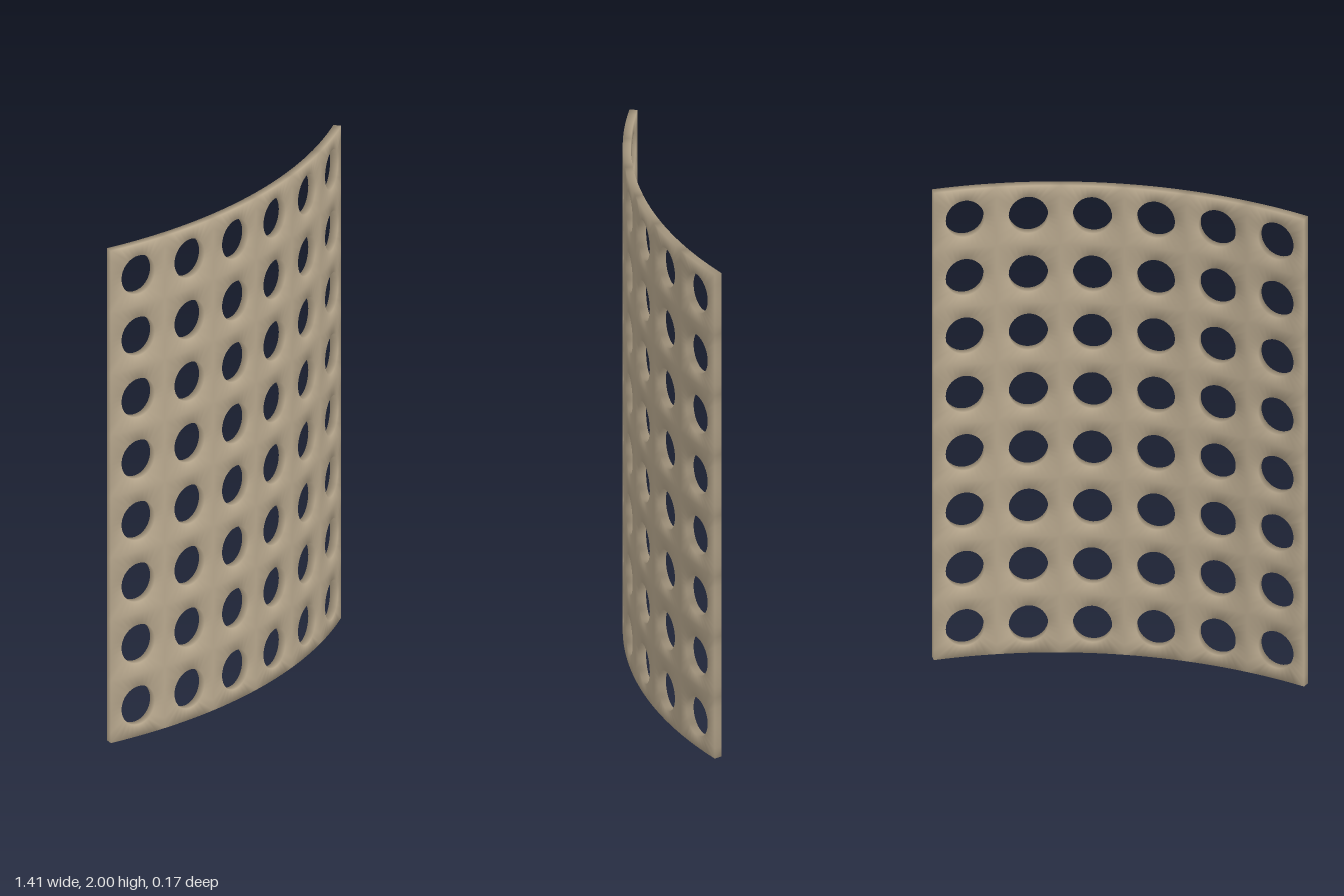
import * as THREE from 'three';
import { mergeVertices } from 'three/addons/utils/BufferGeometryUtils.js';

const COLS = 6, ROWS = 8, SEGMENTS = 32;
const ARC = Math.PI / 4, OUTER = 1.837, INNER = 1.807, CENTER_Z = -1.754;
const HEIGHT = 2, CELL_W = ARC / COLS, CELL_H = HEIGHT / ROWS;
const HOLE_W = 0.0745 / OUTER, HOLE_H = 0.078; // half sizes: angle, height

// Wrap a flat (angle, height) point around the panel's vertical axis
const bend = ([a, y], radius) => [radius * Math.sin(a), y, CENTER_Z + radius * Math.cos(a)];

function perforatedPanelGeometry() {
  const positions = [];
  const quad = (a, b, c, d) => positions.push(...a, ...b, ...c, ...a, ...c, ...d);

  for (let col = 0; col < COLS; col++) {
    for (let row = 0; row < ROWS; row++) {
      const ca = (col + 0.5) * CELL_W - ARC / 2;
      const cy = (row + 0.5) * CELL_H;

      // Rim point on the hole and matching point on the cell's rectangle
      const ray = (k) => {
        const t = (k / SEGMENTS) * Math.PI * 2;
        const c = Math.cos(t), s = Math.sin(t);
        const m = Math.max(Math.abs(c), Math.abs(s));
        const rim = [ca + HOLE_W * c, cy + HOLE_H * s];
        const edge = [ca + (CELL_W / 2) * (c / m), cy + (CELL_H / 2) * (s / m)];
        return {
          rim, edge,
          rimF: bend(rim, OUTER), rimB: bend(rim, INNER),
          edgeF: bend(edge, OUTER), edgeB: bend(edge, INNER),
        };
      };

      for (let k = 0; k < SEGMENTS; k++) {
        const p = ray(k), q = ray(k + 1);
        quad(p.rimF, p.edgeF, q.edgeF, q.rimF); // front skin
        quad(p.rimB, q.rimB, q.edgeB, p.edgeB); // back skin
        quad(p.rimF, q.rimF, q.rimB, p.rimB); // hole wall

        // Outer border of the whole panel
        const ma = (p.edge[0] + q.edge[0]) / 2, my = (p.edge[1] + q.edge[1]) / 2;
        const onSide = Math.abs(ma) > ARC / 2 - 1e-5;
        const onEnd = Math.abs(my - HEIGHT / 2) > HEIGHT / 2 - 1e-5;
        if (onSide || onEnd) quad(p.edgeF, p.edgeB, q.edgeB, q.edgeF);
      }
    }
  }

  // Shared vertices give soft shading around the rims and borders
  const soup = new THREE.BufferGeometry();
  soup.setAttribute('position', new THREE.Float32BufferAttribute(positions, 3));
  const geometry = mergeVertices(soup, 1e-4);
  geometry.computeVertexNormals();
  return geometry;
}

export function createModel() {
  const beige = new THREE.MeshStandardMaterial({ color: 0xb8a88e });
  beige.name = 'beige';

  const panel = new THREE.Mesh(perforatedPanelGeometry(), beige);
  panel.name = 'perforatedPanel';

  const group = new THREE.Group();
  group.name = 'curvedPerforatedScreen';
  group.add(panel);
  return group;
}
